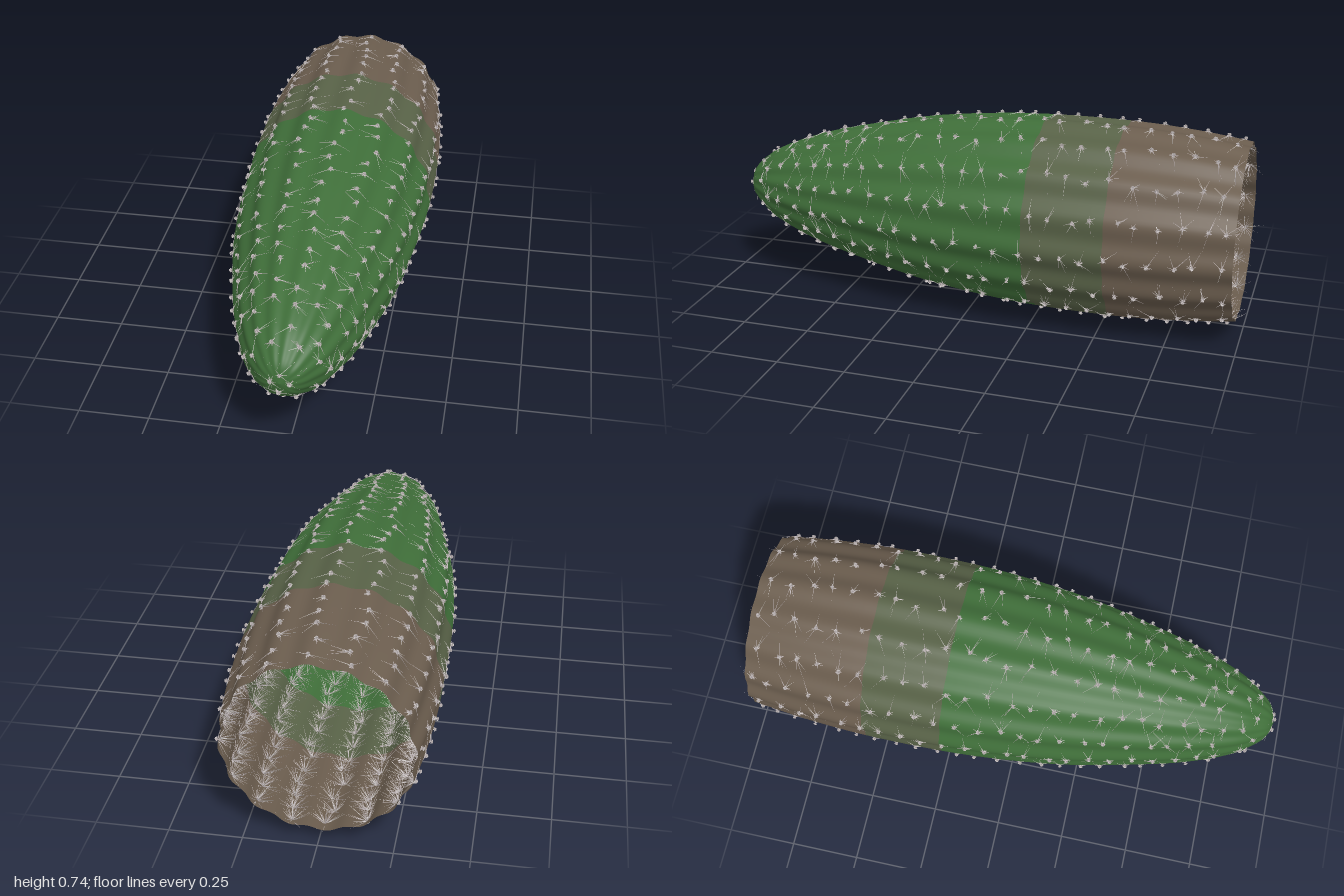
import * as THREE from 'three';
import { mergeGeometries } from 'three/addons/utils/BufferGeometryUtils.js';

const RIBS = 16;
const RIDGE = THREE.MathUtils.degToRad(265.4); // angle of one rib crest
const CENTRE_Y = 0.46;
const STEPS = 6; // rows of faces per profile span
const CREST = 1.025, RIB_DEPTH = 0.02; // rib height relative to the profile radius

// Profile as (radius, z), from the rounded tip to the open cut end
const profile = new THREE.SplineCurve([
  [0, 0.93], [0.055, 0.912], [0.096, 0.87], [0.147, 0.79], [0.21, 0.62], [0.264, 0.4],
  [0.304, 0.2], [0.331, -0.02], [0.346, -0.25], [0.348, -0.54], [0.335, -0.78], [0.313, -0.98],
].map(([r, z]) => new THREE.Vector2(r, z)));
const SPANS = profile.points.length - 1;
const GREEN_END = 8, FADE_END = 9; // spans where the colour changes

function seeded(seed) {
  return () => {
    seed = (seed * 1664525 + 1013904223) % 4294967296;
    return seed / 4294967296;
  };
}

function material(name, color, side = THREE.FrontSide) {
  const m = new THREE.MeshStandardMaterial({ color, side });
  m.name = name;
  return m;
}

// Ribbed skin: a grid wrapped around the z axis, with one material per band
function skinGeometry() {
  const cols = RIBS * 12, rows = SPANS * STEPS;
  const geo = new THREE.PlaneGeometry(1, 1, cols, rows);
  const pos = geo.attributes.position;
  for (let j = 0, k = 0; j <= rows; j++) {
    const p = profile.getPoint(j / rows);
    for (let i = 0; i <= cols; i++, k++) {
      const a = (i / cols) * Math.PI * 2;
      const r = p.x * (CREST - RIB_DEPTH * (1 - Math.cos(RIBS * a)));
      pos.setXYZ(k, r * Math.cos(a + RIDGE), r * Math.sin(a + RIDGE), p.y);
    }
  }
  geo.computeVertexNormals();
  const perSpan = cols * STEPS * 6;
  geo.clearGroups();
  geo.addGroup(0, GREEN_END * perSpan, 0);
  geo.addGroup(GREEN_END * perSpan, (FADE_END - GREEN_END) * perSpan, 1);
  geo.addGroup(FADE_END * perSpan, (SPANS - FADE_END) * perSpan, 2);
  return geo;
}

// Clusters thin out where the ribs meet at the tip
function isCrowded(rib, n) {
  return n === 0 ? rib % 4 !== 0 : n < 3 && (rib + n) % 2 !== 0;
}

// Spine clusters along every rib crest, sorted into grey and pale needles
function spineGeometries() {
  const rand = seeded(7);
  const needle = new THREE.ConeGeometry(0.0015, 1, 3, 1, true).translate(0, 0.5, 0);
  const up = new THREE.Vector3(0, 1, 0);
  const matrix = new THREE.Matrix4(), quat = new THREE.Quaternion();
  const grey = [], pale = [];
  const PER_RIB = 26, PER_CLUSTER = 28;

  for (let rib = 0; rib < RIBS; rib++) {
    for (let n = 0; n < PER_RIB; n++) {
      if (isCrowded(rib, n)) continue;
      const a = RIDGE + ((rib + 0.2 * (rand() - 0.5)) / RIBS) * Math.PI * 2;
      const around = new THREE.Vector3(-Math.sin(a), Math.cos(a), 0);
      const u = Math.min(0.985, (n + 0.25 + 0.4 * (rib % 2) + 0.3 * rand()) / PER_RIB);
      const p = profile.getPointAt(u), t = profile.getTangentAt(u);
      const along = new THREE.Vector3(t.x * Math.cos(a), t.x * Math.sin(a), t.y);
      const normal = new THREE.Vector3().crossVectors(around, along);
      const r = p.x * CREST;
      const root = new THREE.Vector3(r * Math.cos(a), r * Math.sin(a), p.y)
        .addScaledVector(normal, -0.004);

      for (let s = 0; s < PER_CLUSTER; s++) {
        const central = s < 5;
        const lift = central ? 1.0 + 0.5 * rand() : 0.2 + 0.8 * rand();
        const spin = (s / PER_CLUSTER) * Math.PI * 2 * 5 + rand();
        const dir = normal.clone().multiplyScalar(Math.sin(lift))
          .addScaledVector(around, Math.cos(lift) * Math.cos(spin))
          .addScaledVector(along, Math.cos(lift) * Math.sin(spin));
        const length = central ? 0.07 + 0.035 * rand() : 0.05 + 0.04 * rand();
        // Start each needle a little behind the skin so its base shows inside
        const base = root.clone().addScaledVector(dir, -0.008);
        quat.setFromUnitVectors(up, dir.normalize());
        matrix.compose(base, quat, new THREE.Vector3(1, length + 0.008, 1));
        (s % 4 === 0 ? pale : grey).push(needle.clone().applyMatrix4(matrix));
      }
    }
  }
  return [mergeGeometries(grey), mergeGeometries(pale)];
}

export function createModel() {
  const group = new THREE.Group();
  group.name = 'cactusStem';

  const add = (name, geometry, mat) => {
    const mesh = new THREE.Mesh(geometry, mat);
    mesh.name = name;
    mesh.position.y = CENTRE_Y;
    group.add(mesh);
  };

  add('ribbedSkin', skinGeometry(), [
    material('freshGreen', 0x3f6e39, THREE.DoubleSide),
    material('fadedGreen', 0x586247, THREE.DoubleSide),
    material('corkyBrown', 0x6b5d4e, THREE.DoubleSide),
  ]);

  const [grey, pale] = spineGeometries();
  add('greySpines', grey, material('spineGrey', 0xcfc5c6));
  add('paleSpines', pale, material('spinePale', 0xf3efec));
  return group;
}
